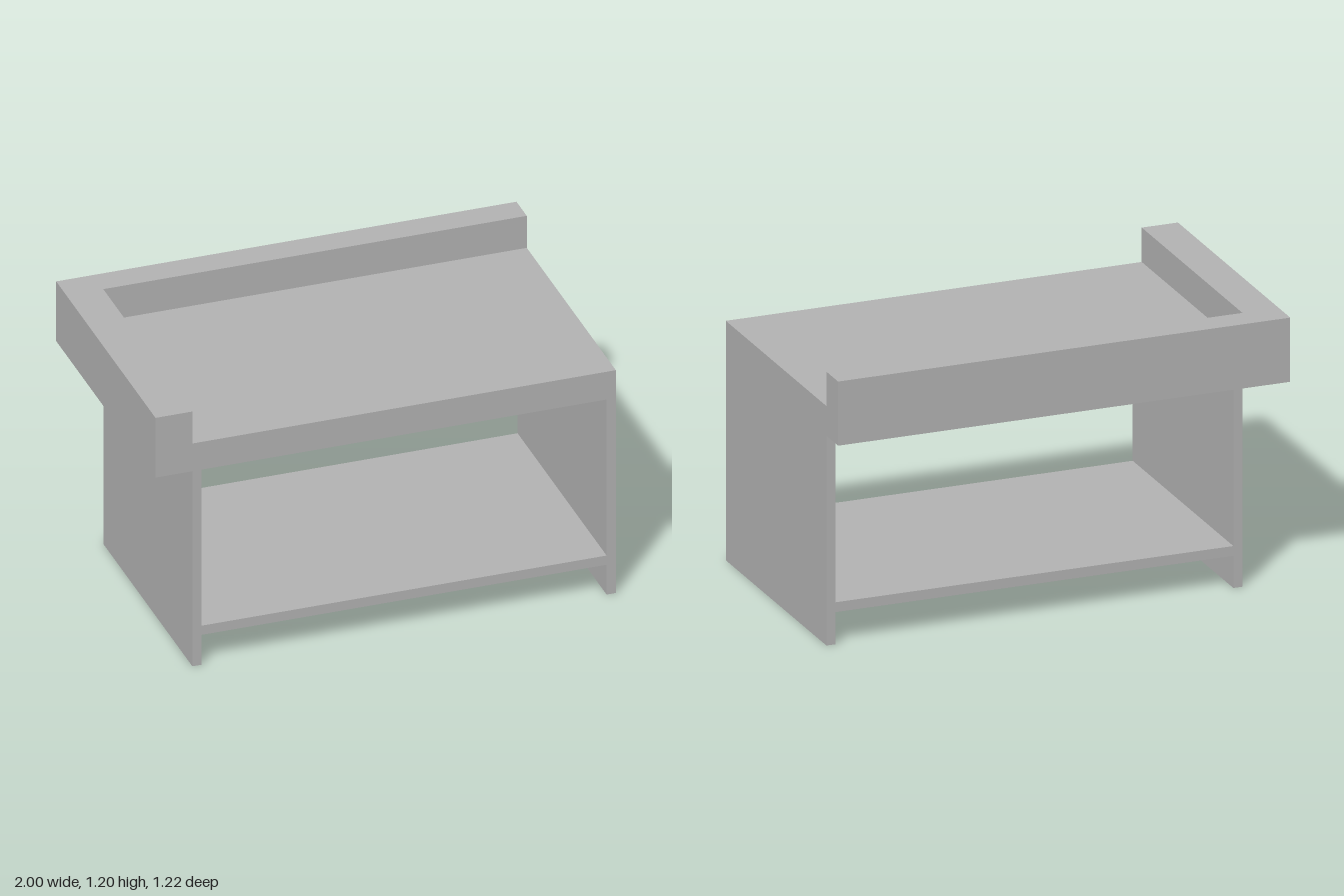
import * as THREE from 'three';

const grey = new THREE.MeshStandardMaterial({ color: 0xb3b3b3 });
grey.name = 'plain grey';

// Box given by its minimum and maximum on each axis
function box(name, [x0, x1], [y0, y1], [z0, z1]) {
  const mesh = new THREE.Mesh(new THREE.BoxGeometry(x1 - x0, y1 - y0, z1 - z0), grey);
  mesh.position.set((x0 + x1) / 2, (y0 + y1) / 2, (z0 + z1) / 2);
  mesh.name = name;
  return mesh;
}

export function createModel() {
  const group = new THREE.Group();
  group.name = 'workbench';

  const left = 1, right = -0.84, back = -0.482, front = 0.608;
  const underside = 0.915, surface = 1.045, rimTop = 1.195;
  const thick = 0.04, depth = [back, front];

  // Worktop slab
  group.add(box('worktop', [right, left], [underside, surface], depth));

  // Side panels that reach the floor
  group.add(box('leftPanel', [left - thick, left], [0, underside], depth));
  group.add(box('rightPanel', [right, right + thick], [0, underside], depth));

  // Lower shelf between the panels
  group.add(box('shelf', [right + thick, left - thick], [0.14, 0.183], depth));

  // L-shaped raised rim wrapping the back and right edges (drawn in x, -z)
  const plan = new THREE.Shape([
    [-1, -front], [right, -front], [right, -back],
    [left, -back], [left, 0.608], [-1, 0.608],
  ].map(([x, y]) => new THREE.Vector2(x, y)));
  const rimGeometry = new THREE.ExtrudeGeometry(plan, { depth: rimTop - underside, bevelEnabled: false });
  rimGeometry.rotateX(-Math.PI / 2);
  const rim = new THREE.Mesh(rimGeometry, grey);
  rim.position.y = underside;
  rim.name = 'raisedRim';
  group.add(rim);

  return group;
}
